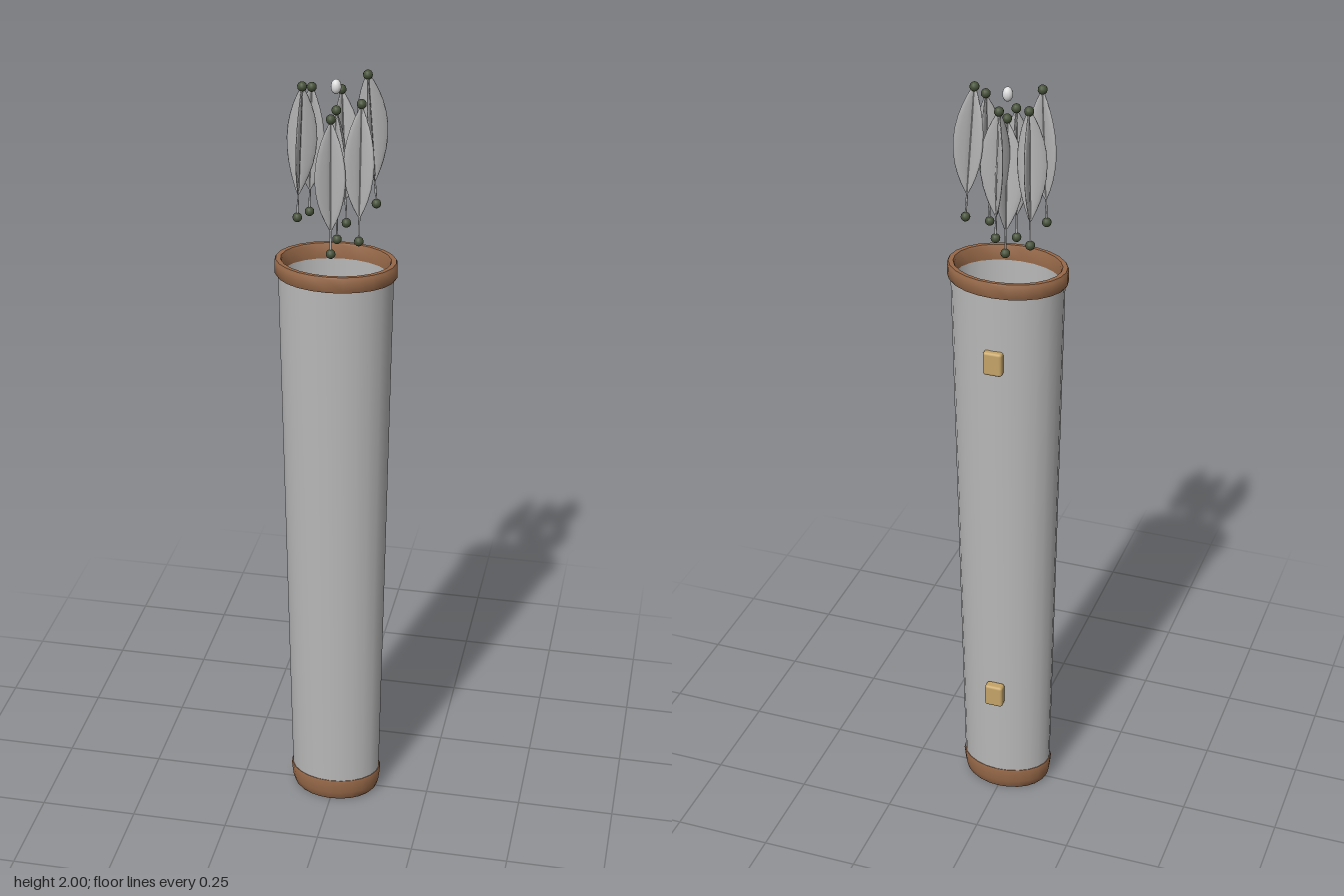
import * as THREE from 'three';
import { toCreasedNormals } from 'three/addons/utils/BufferGeometryUtils.js';
import { RoundedBoxGeometry } from 'three/addons/geometries/RoundedBoxGeometry.js';

const material = (name, color) => {
  const m = new THREE.MeshStandardMaterial({ color });
  m.name = name;
  return m;
};

const DEPTH = 0.75; // the quiver is an oval: depth / width

// Oval turned part from a [radius, height] profile
function oval(name, profile, mat, crease = 0.6) {
  const points = profile.map(([r, y]) => new THREE.Vector2(r, y));
  const geometry = new THREE.LatheGeometry(points, 24);
  geometry.scale(1, 1, DEPTH);
  const mesh = new THREE.Mesh(toCreasedNormals(geometry, crease), mat);
  mesh.name = name;
  return mesh;
}

// Thin vane: straight edge on the shaft, outer edge bulging along +x
function vaneGeometry(width, length, thickness) {
  const geometry = new THREE.SphereGeometry(1, 10, 14);
  const p = geometry.attributes.position;
  for (let i = 0; i < p.count; i++) {
    const y = p.getY(i);
    const s = Math.sqrt(Math.max(0, 1 - y * y));
    p.setXYZ(i, (width / 2) * s * (p.getX(i) + s), (y * length) / 2, (p.getZ(i) * thickness) / 2);
  }
  geometry.computeVertexNormals();
  return geometry;
}

export function createModel() {
  const model = new THREE.Group();
  model.name = 'quiver';

  const grey = material('grey hide', 0xb8b8b8);
  const brown = material('brown leather', 0x966848);
  const tan = material('tan leather', 0xc4a468);
  const feather = material('grey feather', 0xb4b4b4);
  const green = material('dark green binding', 0x455038);
  const white = material('pale nock', 0xdedede);

  // Tapered shell, open at the top
  model.add(
    oval('outerWall', [[0.117, 0.05], [0.141, 1.52]], grey),
    oval('innerWall', [[0.132, 1.53], [0.113, 0.07]], grey),
    oval('innerFloor', [[0.113, 0.07], [0, 0.07]], grey)
  );

  // Leather band around the mouth and cap at the foot
  model.add(
    oval('rim', [[0.132, 1.5], [0.146, 1.5], [0.149, 1.505], [0.149, 1.535],
      [0.146, 1.54], [0.134, 1.54], [0.131, 1.535], [0.131, 1.5]], brown, 0.9),
    oval('footCap', [[0, 0], [0.106, 0], [0.112, 0.007], [0.117, 0.025], [0.121, 0.06],
      [0.119, 0.065], [0.112, 0.065]], brown, 0.9)
  );

  // Strap loops on the back
  for (const [name, y] of [['upperStrapLoop', 1.325], ['lowerStrapLoop', 0.33]]) {
    const loop = new THREE.Mesh(new RoundedBoxGeometry(0.048, 0.062, 0.027, 2, 0.007), tan);
    loop.name = name;
    loop.position.set(0, y, -0.104);
    model.add(loop);
  }

  // Arrow ends: lower binding, upper binding, turn of the vanes in degrees
  const arrows = [
    [[-0.078, 1.63, -0.066], [-0.065, 1.95, -0.04], 92],
    [[-0.088, 1.65, 0.025], [-0.072, 1.975, 0.034], -90],
    [[0, 1.58, 0.064], [0, 1.91, 0.06], 97],
    [[0.066, 1.615, 0.058], [0.068, 1.945, 0.041], 90],
    [[0.088, 1.67, -0.048], [0.068, 1.99, -0.034], -88],
    [[0.018, 1.62, -0.036], [0.003, 1.945, -0.052], 5],
    [[-0.003, 1.58, -0.027], [0, 1.91, -0.004], 190],
  ];
  const vane = vaneGeometry(0.042, 0.275, 0.008);
  const bead = new THREE.SphereGeometry(0.0115, 12, 8);
  const up = new THREE.Vector3(0, 1, 0);

  arrows.forEach(([low, high, turn], i) => {
    const start = new THREE.Vector3(...low);
    const axis = new THREE.Vector3(...high).sub(start);
    const length = axis.length();
    const arrow = new THREE.Group();
    arrow.name = `arrow${i + 1}`;
    arrow.position.copy(start);
    arrow.quaternion.setFromUnitVectors(up, axis.normalize());
    const add = (name, geometry, mat, y) => {
      const mesh = new THREE.Mesh(geometry, mat);
      mesh.name = name;
      mesh.position.y = y;
      arrow.add(mesh);
      return mesh;
    };
    add('shaft', new THREE.CylinderGeometry(0.0025, 0.0025, length, 6), feather, length / 2);
    add('lowerBinding', bead, green, 0);
    add('upperBinding', bead, green, length);
    for (let k = 0; k < 3; k++) {
      add('vane', vane, feather, 0.192).rotation.y = THREE.MathUtils.degToRad(turn + k * 120);
    }
    model.add(arrow);
  });

  // Pale nock above the middle arrow
  const nock = new THREE.Mesh(new THREE.SphereGeometry(0.0125, 12, 10), white);
  nock.name = 'nock';
  nock.scale.y = 1.4;
  nock.position.set(0, 1.968, -0.001);
  model.add(nock);

  return model;
}
